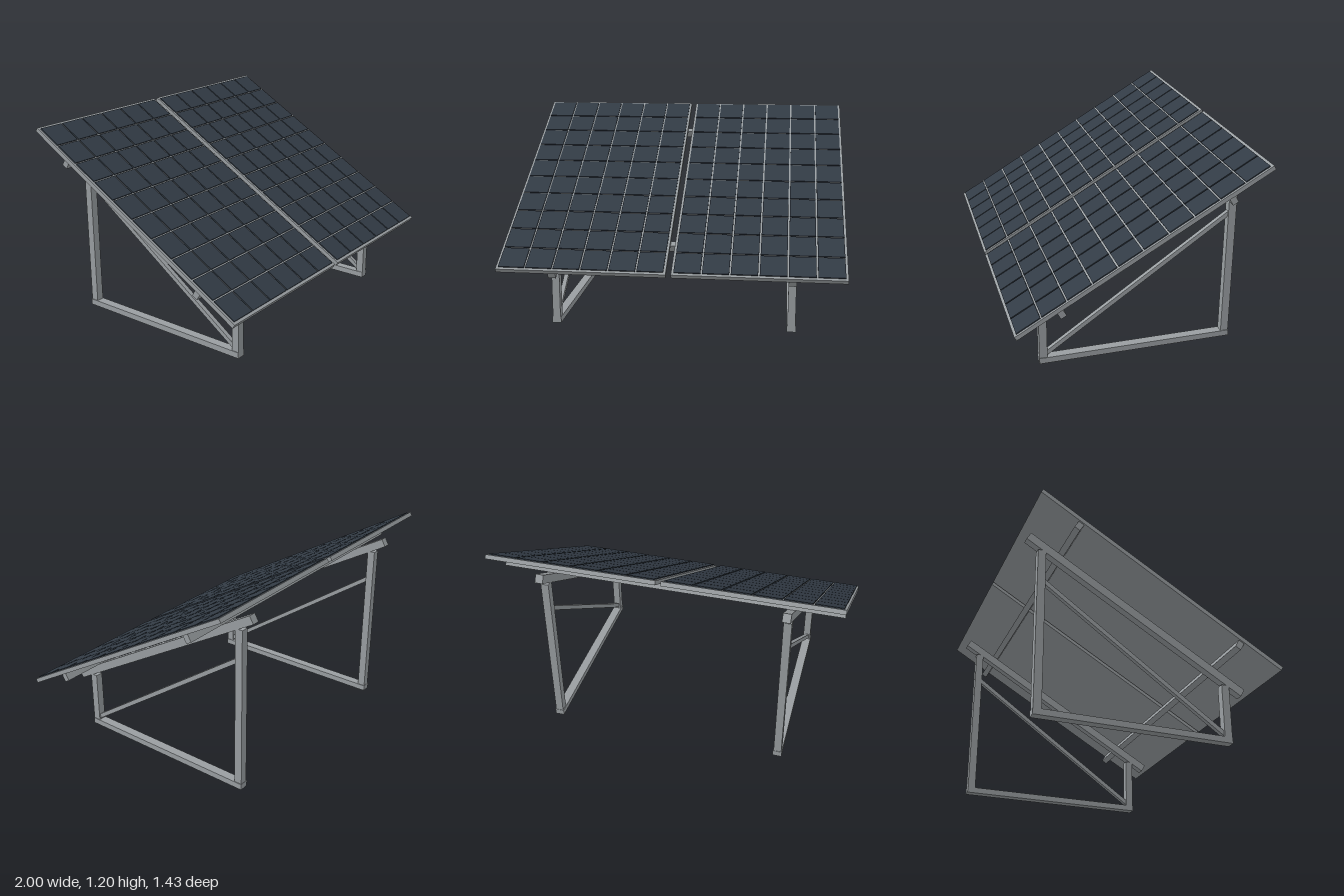
import * as THREE from 'three';

export function createModel() {
  const model = new THREE.Group();
  model.name = 'solarArray';
  const metal = new THREE.MeshStandardMaterial({ name: 'brushed metal grey', color: 0x999ea1 });
  const cellMat = new THREE.MeshStandardMaterial({ name: 'dark cell blue', color: 0x323b45 });

  const box = (parent, name, mat, [w, h, d], [x, y, z], tilt = 0) => {
    const mesh = new THREE.Mesh(new THREE.BoxGeometry(w, h, d), mat);
    mesh.name = name;
    mesh.position.set(x, y, z);
    mesh.rotation.x = tilt;
    parent.add(mesh);
    return mesh;
  };

  // Everything parallel to the panels lives in one group sloping down to the front
  const deck = new THREE.Group();
  deck.name = 'tiltedDeck';
  deck.position.y = 0.777;
  deck.rotation.x = Math.PI / 6;
  model.add(deck);

  // Two panels, each a slab carrying a 6 x 10 grid of thin cells
  const pitch = 0.161, gap = 0.009;
  for (const side of [-1, 1]) {
    const panel = new THREE.Group();
    panel.name = side > 0 ? 'leftPanel' : 'rightPanel';
    panel.position.x = side * 0.5075;
    deck.add(panel);
    box(panel, 'panelFrame', metal, [0.985, 0.025, 1.634], [0, -0.001, 0]);
    for (let c = 0; c < 6; c++) {
      for (let r = 0; r < 10; r++) {
        box(panel, 'cell', cellMat, [pitch - gap, 0.006, pitch - gap],
          [(c - 2.5) * pitch, 0.0145, (r - 4.5) * pitch]);
      }
    }
  }

  // Cross rails under the panels
  for (const z of [-0.545, 0.545]) {
    box(deck, 'crossRail', metal, [1.98, 0.047, 0.036], [0, -0.037, z]);
  }

  // Two triangular supports
  for (const side of [-1, 1]) {
    const x = side * 0.697;
    box(deck, 'slopingBeam', metal, [0.046, 0.05, 1.51], [x, -0.086, 0.005]);

    const support = new THREE.Group();
    support.name = side > 0 ? 'leftSupport' : 'rightSupport';
    support.position.x = x;
    model.add(support);
    box(support, 'baseBeam', metal, [0.054, 0.036, 1.165], [0, 0.018, -0.055]);
    box(support, 'frontLeg', metal, [0.046, 0.319, 0.047], [0, 0.1945, 0.504]);
    box(support, 'rearLeg', metal, [0.046, 0.964, 0.047], [0, 0.518, -0.612]);
    box(support, 'diagonalBrace', metal, [0.027, 0.026, 1.325], [0, 0.4325, -0.054], Math.atan2(0.745, 1.068));
  }
  return model;
}
